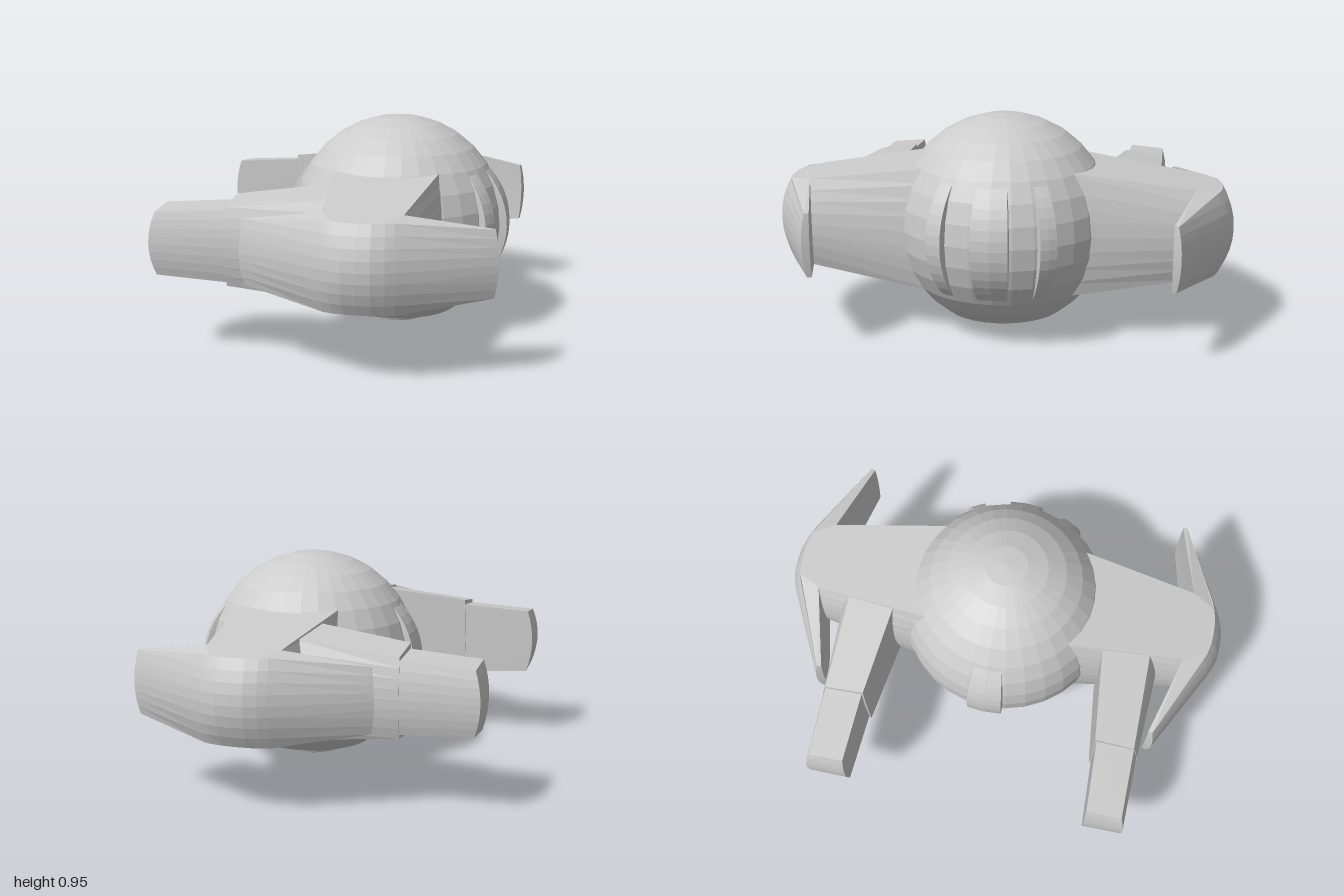
import * as THREE from 'three';

const CX = 0.2, CY = 0.475, R = 0.475;
const material = new THREE.MeshStandardMaterial({ color: 0xcccccc, flatShading: true });

function makeGeometry(positions, index) {
  const g = new THREE.BufferGeometry();
  g.setAttribute('position', new THREE.Float32BufferAttribute(positions, 3));
  g.setIndex(index);
  g.computeVertexNormals();
  return g;
}

function addMesh(parent, geometry, name) {
  const mesh = new THREE.Mesh(geometry, material);
  mesh.name = name;
  parent.add(mesh);
}

// Upright slab with bulging walls. Corners are [x, z, halfHeight, bulgeX, bulgeZ];
// side is +1 for the front copy and -1 for the mirrored rear copy.
function slab(corners, side) {
  const LAYERS = 8;
  let outline = corners.map(([x, z, h, bx = 0, bz = 0]) => [x, z * side, h, bx, bz * side]);
  const flat = (list) => list.map(([x, z]) => new THREE.Vector2(x, z));
  if (THREE.ShapeUtils.isClockWise(flat(outline))) outline = outline.reverse();
  const n = outline.length, positions = [], index = [];
  for (let k = 0; k <= LAYERS; k++) {
    const t = (k / LAYERS) * 2 - 1, swell = 1 - t * t;
    for (const [x, z, h, bx, bz] of outline) positions.push(x + bx * swell, CY + t * h, z + bz * swell);
  }
  for (let k = 0; k < LAYERS; k++) {
    for (let i = 0; i < n; i++) {
      const a = k * n + i, b = k * n + (i + 1) % n;
      index.push(a, a + n, b + n, a, b + n, b);
    }
  }
  const top = LAYERS * n;
  for (const [a, b, c] of THREE.ShapeUtils.triangulateShape(flat(outline), [])) {
    index.push(a, b, c, top + a, top + c, top + b);
  }
  return makeGeometry(positions, index);
}

// Raised crescent rib standing on the ball, centred on a compass angle
function rib(angle, halfWidth) {
  const STEPS = 14, reach = THREE.MathUtils.degToRad(35), positions = [], index = [];
  for (let k = 0; k <= STEPS; k++) {
    const s = (k / STEPS) * 2 - 1, lat = s * reach;
    const outer = R - 0.01 + 0.04 * Math.cos(s * Math.PI / 2);
    for (const [w, r] of [[-1, R - 0.03], [-0.85, outer], [0, outer], [0.85, outer], [1, R - 0.03]]) {
      const a = angle + w * halfWidth;
      positions.push(CX + r * Math.cos(lat) * Math.cos(a), CY + r * Math.sin(lat), r * Math.cos(lat) * Math.sin(a));
    }
  }
  for (let k = 0; k < STEPS; k++) {
    for (let i = 0; i < 4; i++) {
      const a = k * 5 + i, b = a + 1;
      index.push(a, a + 5, b + 5, a, b + 5, b);
    }
  }
  return makeGeometry(positions, index);
}

// Half height of the pylon, sloping down away from the ball
const slope = (z) => 0.18 + (0.94 - z) * 0.142;

function buildArm(side, name) {
  const arm = new THREE.Group();
  arm.name = name;

  // Tapering pylon from the ball to the wing
  addMesh(arm, slab([
    [-0.04, 0.2, slope(0.2), -0.04, 0], [0.44, 0.2, slope(0.2), 0.04, 0],
    [0.36, 0.83, slope(0.83), 0.04, 0], [0.04, 0.83, slope(0.83), -0.04, 0],
  ], side), 'pylon');

  // Swept crescent wing across the end of the pylon
  const half = [
    [0.16, 0.83, slope(0.83)], [0.5, 0.737, 0.137, 0.01, 0], [0.505, 0.755, 0.137, 0.016, 0.015],
    [0.14, 0.92, 0.181, 0.01, 0.042], [0.105, 0.932, 0.181, 0.007, 0.048], [0.055, 0.943, 0.18, 0.003, 0.054],
  ];
  const place = (m) => ([x, z, h, bx = 0, bz = 0]) => [CX + m * x, z, h, m * bx, bz];
  addMesh(arm, slab([
    ...half.map(place(1)), [CX, 0.945, 0.18, 0, 0.055], ...half.map(place(-1)).reverse(),
  ], side), 'wing');

  // Long boom reaching sideways, then its stepped-in tip
  const drop = (x, z) => slope(z) - 0.002 - 0.12 * Math.max(0, -x);
  addMesh(arm, slab([
    [0.06, 0.465, drop(0, 0.465)], [0.06, 0.682, drop(0, 0.682), 0, 0.055],
    [-0.4, 0.687, drop(-0.4, 0.687), -0.005, 0.028], [-0.4, 0.515, drop(-0.4, 0.515), -0.005, 0],
  ], side), 'boom');
  addMesh(arm, slab([
    [-0.38, 0.522, 0.168], [-0.38, 0.688, 0.152, 0, 0.025],
    [-0.705, 0.688, 0.134, -0.025, 0.02], [-0.705, 0.535, 0.147, -0.025, 0],
  ], side), 'boomTip');
  return arm;
}

export function createModel() {
  const model = new THREE.Group();
  model.name = 'model';

  // Ball cut flat below, with a recess and a rounded nozzle
  const profile = [[0, 0.004], [0.07, 0.01], [0.13, 0.03], [0.15, 0.075], [0.15, 0.11], [0.2, 0.078]];
  for (let i = -5; i <= 8; i++) {
    const lat = i * Math.PI / 16;
    profile.push([i === 8 ? 0 : R * Math.cos(lat), CY + R * Math.sin(lat)]);
  }
  const ball = new THREE.LatheGeometry(profile.map(([r, y]) => new THREE.Vector2(r, y)), 32);
  ball.translate(CX, 0, 0);
  addMesh(model, ball, 'ball');

  // Ribs: three on the left side, one on the right
  const deg = Math.PI / 180;
  addMesh(model, rib(0, 10.5 * deg), 'centreRib');
  addMesh(model, rib(28.5 * deg, 5 * deg), 'frontRib');
  addMesh(model, rib(-28.5 * deg, 5 * deg), 'rearRib');
  addMesh(model, rib(Math.PI, 10.5 * deg), 'oppositeRib');

  model.add(buildArm(1, 'frontArm'), buildArm(-1, 'rearArm'));
  return model;
}
